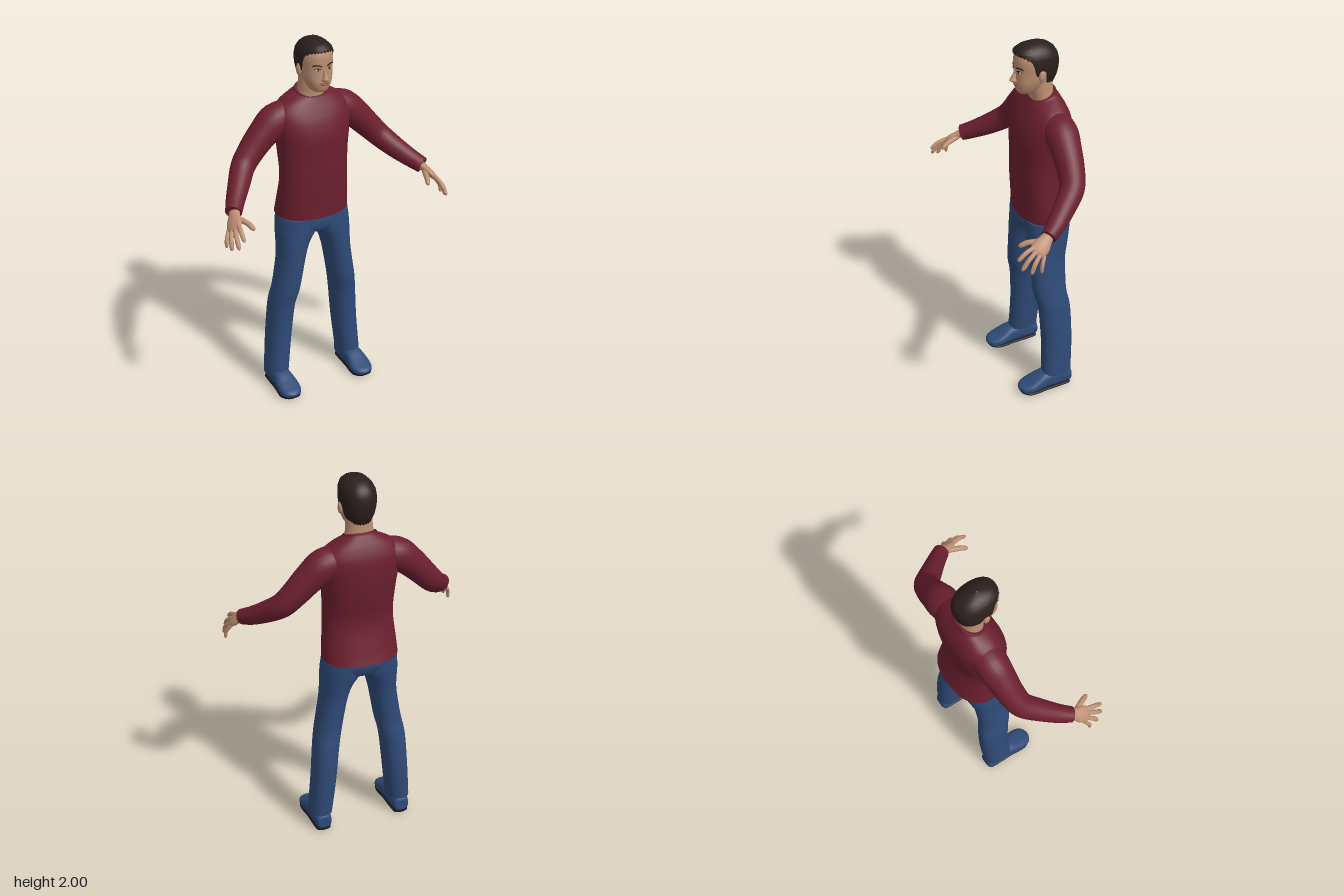
import * as THREE from 'three';

const mat = (name, color) => {
  const m = new THREE.MeshStandardMaterial({ color });
  m.name = name;
  return m;
};
const V = (x, y, z) => new THREE.Vector3(x, y, z);

// Catmull-Rom resampling of a table of rows, column by column
function smooth(rows, steps = 5) {
  const out = [], last = rows.length - 1;
  for (let i = 0; i < last; i++) {
    const [a, b, c, d] = [rows[Math.max(i - 1, 0)], rows[i], rows[i + 1], rows[Math.min(i + 2, last)]];
    for (let k = 0; k < steps; k++) {
      const t = k / steps;
      out.push(b.map((p, j) => {
        const quad = 2 * a[j] - 5 * p + 4 * c[j] - d[j];
        const cubic = 3 * (p - c[j]) + d[j] - a[j];
        return p + 0.5 * t * (c[j] - a[j] + t * (quad + t * cubic));
      }));
    }
  }
  out.push(rows[last]);
  return out;
}

// Linear lookup in a table whose first column rises
function lookup(rows, key) {
  let i = 0;
  while (i < rows.length - 2 && key > rows[i + 1][0]) i++;
  const t = THREE.MathUtils.clamp((key - rows[i][0]) / (rows[i + 1][0] - rows[i][0]), 0, 1);
  return rows[i].map((p, j) => p + (rows[i + 1][j] - p) * t);
}

// Surface through rings of points, optionally capped at both ends
function skinRings(rings, caps = true) {
  const n = rings[0].length, pts = rings.flat(), index = [];
  for (let i = 0; i < rings.length - 1; i++) for (let j = 0; j < n; j++) {
    const a = i * n + j, b = i * n + (j + 1) % n;
    index.push(a, b, b + n, a, b + n, a + n);
  }
  if (caps) [rings[0], rings[rings.length - 1]].forEach((ring, end) => {
    const base = pts.length;
    const mid = ring.reduce((s, p) => s.add(p), V(0, 0, 0)).divideScalar(n);
    pts.push(...ring, mid);
    for (let j = 0; j < n; j++) {
      const a = base + j, b = base + (j + 1) % n;
      index.push(base + n, ...(end ? [a, b] : [b, a]));
    }
  });
  const g = new THREE.BufferGeometry().setFromPoints(pts);
  g.setIndex(index);
  g.computeVertexNormals();
  return g;
}

const power = (v, n) => Math.sign(v) * Math.abs(v) ** (2 / n);

// Upright form; rows: [y, xMin, xMax, zFront, zBack, forward tilt]
function upright(rows, n = 2.3, sides = 40) {
  return skinRings(smooth(rows).map(([y, x0, x1, zf, zb, tilt = 0]) =>
    Array.from({ length: sides }, (_, j) => {
      const a = j / sides * Math.PI * 2, s = power(Math.sin(a), n), c = power(Math.cos(a), n);
      return V((x0 + x1) / 2 + s * (x1 - x0) / 2, y - tilt * c, (zf + zb) / 2 + c * (zf - zb) / 2);
    })));
}
const centred = (rows) => rows.map(([y, w, ...rest]) => [y, -w, w, ...rest]);

// Limb along a path; rows: [x, y, z, wide radius, thin radius]
function limb(rows, wide, sides = 24, steps = 5) {
  const r = smooth(rows, steps), p = r.map((q) => V(q[0], q[1], q[2]));
  return skinRings(r.map((q, i) => {
    const d = p[Math.min(i + 1, p.length - 1)].clone().sub(p[Math.max(i - 1, 0)]).normalize();
    const u = wide.clone().addScaledVector(d, -wide.dot(d)).normalize();
    const v = d.clone().cross(u);
    return Array.from({ length: sides }, (_, j) => {
      const a = j / sides * Math.PI * 2;
      return p[i].clone().addScaledVector(u, Math.cos(a) * q[3]).addScaledVector(v, Math.sin(a) * q[4]);
    });
  }));
}

// Form along z; rows: [z, half width, top, bottom]
const lengthwise = (rows, cx) => skinRings(smooth(rows).map(([z, w, top, bot]) =>
  Array.from({ length: 28 }, (_, j) => {
    const a = j / 28 * Math.PI * 2;
    return V(cx + w * power(Math.cos(a), 2.6), (top + bot) / 2 + power(Math.sin(a), 2.6) * (top - bot) / 2, z);
  })));

function mirrored(g) {
  const m = g.clone().scale(-1, 1, 1), ix = m.index.array;
  for (let i = 0; i < ix.length; i += 3) [ix[i], ix[i + 1]] = [ix[i + 1], ix[i]];
  m.computeVertexNormals();
  return m;
}

// [y, half width, front, back] of the head
const HEAD = [[1.728, .02, -.015, -.06], [1.738, .04, .01, -.085], [1.76, .056, .021, -.105], [1.79, .069, .027, -.135],
  [1.82, .077, .026, -.16], [1.86, .081, .025, -.178], [1.9, .083, .027, -.182], [1.93, .079, .024, -.178],
  [1.955, .066, .012, -.165], [1.975, .044, -.015, -.14], [1.985, .012, -.06, -.09]];
function faceZ(x, y) {
  const [, w, f, b] = lookup(HEAD, y);
  const side = Math.min(Math.abs(x) / w, 1);
  return (f + b) / 2 + (f - b) / 2 * (1 - side ** 2.3) ** (1 / 2.3);
}

// Hair shell whose lower edge follows fringe, sideburns, ears and nape
function hairShell() {
  const size = [[1.77, .062, .03, -.172], [1.82, .08, .03, -.192], [1.86, .088, .031, -.2], [1.9, .09, .033, -.201],
    [1.935, .086, .034, -.193], [1.96, .074, .03, -.177], [1.98, .054, .006, -.152], [1.993, .031, -.03, -.12], [2, .002, -.073, -.077]];
  const edge = [[-1, 1.778], [-.55, 1.785], [-.3, 1.8], [-.15, 1.87], [.05, 1.87], [.15, 1.843], [.3, 1.855], [.42, 1.925], [.7, 1.945], [1, 1.952]];
  const rings = [];
  for (let i = 0; i <= 18; i++) rings.push(Array.from({ length: 96 }, (_, j) => {
    const a = j / 96 * Math.PI * 2, c = power(Math.cos(a), 2.3), s = power(Math.sin(a), 2.3);
    const low = lookup(edge, c)[1] + (j % 3 ? 0 : -.006);
    const y = low + (2 - low) * Math.sin(i / 18 * Math.PI / 2);
    const [, w, f, b] = lookup(size, y);
    return V(s * w, y, (f + b) / 2 + c * (f - b) / 2);
  }));
  return skinRings(rings, false);
}

export function createModel() {
  const model = new THREE.Group();
  const shirt = mat('dark red knit', 0x6c1f2f), denim = mat('blue denim', 0x2f4b78), skin = mat('skin', 0xbd8f72);
  const hair = mat('dark brown hair', 0x2b1f1d), sole = mat('black sole', 0x17171a);
  const white = mat('eye white', 0xcfc4ba), lip = mat('lips', 0x96614f);
  hair.side = THREE.DoubleSide;
  const add = (name, g, m) => {
    const mesh = new THREE.Mesh(g, m);
    mesh.name = name;
    model.add(mesh);
  };
  const pair = (name, g, m) => {
    add(name + 'Left', g, m);
    add(name + 'Right', mirrored(g), m);
  };
  const ball = (x, y, z, a, b, c) => new THREE.SphereGeometry(1, 18, 12).scale(a, b, c).translate(x, y, z);
  const strip = (points, r) => {
    const path = new THREE.CatmullRomCurve3(points.map(([x, y]) => V(x, y, faceZ(x, y))));
    return new THREE.TubeGeometry(path, 14, r, 6);
  };

  // Sweater body and sleeves
  add('sweaterBody', upright(centred([[1.035, .2, .02, -.268, 0], [1.1, .196, .022, -.248, 0], [1.25, .185, .03, -.215, 0],
    [1.38, .189, .03, -.232, 0], [1.48, .2, .03, -.245, 0], [1.56, .212, .012, -.247, 0], [1.615, .21, -.012, -.24, 0],
    [1.66, .172, -.034, -.222, .004], [1.69, .122, -.046, -.202, .012], [1.706, .089, -.05, -.188, .02],
    [1.715, .084, -.053, -.184, .022], [1.712, .07, -.06, -.172, .022]])), shirt);
  pair('sleeve', limb([[.08, 1.61, -.135, .06, .07], [.19, 1.575, -.135, .085, .085], [.27, 1.512, -.13, .077, .077],
    [.34, 1.44, -.122, .069, .069], [.4, 1.375, -.1, .063, .063], [.46, 1.315, -.03, .056, .056],
    [.515, 1.268, .04, .048, .048], [.553, 1.24, .097, .043, .04]], V(.6, .7, -.4)), shirt);

  // Trousers
  add('trouserSeat', upright(centred([[.925, .05, -.05, -.165], [.945, .13, -.01, -.21], [.98, .198, .004, -.232],
    [1.02, .199, .006, -.243], [1.06, .185, .003, -.235]])), denim);
  pair('trouserLeg', upright([[.1, .163, .287, -.035, -.2], [.3, .141, .272, -.04, -.21], [.5, .12, .257, -.03, -.205],
    [.6, .1, .24, -.01, -.19], [.7, .083, .222, -.003, -.19], [.8, .064, .208, 0, -.195], [.88, .038, .206, .002, -.21],
    [.95, -.005, .206, .004, -.225], [1.03, 0, .196, .003, -.235]], 2.2), denim);

  // Shoes
  pair('shoe', lengthwise([[-.2, .026, .08, .03], [-.188, .042, .1, .014], [-.12, .048, .115, .01], [-.04, .053, .11, .01],
    [.02, .061, .082, .01], [.06, .058, .064, .012], [.09, .042, .052, .016], [.105, .012, .04, .028]], .226), denim);
  pair('shoeSole', lengthwise([[-.192, .024, .02, .002], [-.18, .04, .02, 0], [-.12, .046, .02, 0], [-.04, .05, .02, 0],
    [.02, .059, .022, 0], [.06, .056, .024, .002], [.09, .038, .028, .008], [.1, .014, .03, .016]], .226), sole);

  // Hands
  const across = V(.05, -.045, -.055);
  pair('palm', limb([[.54, 1.25, .078, .028, .024], [.557, 1.23, .112, .033, .021], [.573, 1.209, .143, .044, .019],
    [.585, 1.192, .168, .041, .014], [.59, 1.184, .179, .028, .007]], across), skin);
  const finger = (name, a, b, c, r) => {
    const nearTip = b.map((v, i) => v + (c[i] - v) * .75);
    const rows = [[...a, r, r], [...b, r, r], [...nearTip, r * .9, r * .85], [...c, r * .35, r * .35]];
    pair(name, limb(rows, across, 12, 4), skin);
  };
  finger('thumb', [.55, 1.222, .12], [.522, 1.214, .188], [.505, 1.193, .232], .014);
  finger('indexFinger', [.565, 1.214, .17], [.576, 1.196, .225], [.58, 1.163, .27], .0115);
  finger('middleFinger', [.579, 1.2, .165], [.598, 1.167, .219], [.604, 1.12, .258], .012);
  finger('ringFinger', [.593, 1.184, .155], [.616, 1.147, .195], [.624, 1.1, .217], .0115);
  finger('littleFinger', [.604, 1.174, .14], [.624, 1.138, .16], [.629, 1.096, .166], .01);

  // Head and neck
  add('neck', upright(centred([[1.65, .08, -.055, -.18], [1.7, .074, -.058, -.176], [1.75, .069, -.05, -.171],
    [1.82, .066, -.045, -.168]]), 2.1), skin);
  add('head', upright(centred(HEAD)), skin);
  add('nose', upright(centred([[1.796, .009, .03, 0], [1.802, .016, .046, 0], [1.811, .017, .055, 0], [1.822, .012, .05, 0],
    [1.845, .008, .037, 0], [1.87, .007, .027, 0]]), 2, 20), skin);
  pair('ear', ball(.087, 1.843, -.082, .012, .031, .018), skin);
  add('hair', hairShell(), hair);

  // Facial details
  pair('eye', ball(.034, 1.86, faceZ(.034, 1.86) - .004, .014, .006, .006), white);
  pair('iris', ball(.033, 1.86, faceZ(.033, 1.86) + .0005, .005, .005, .003), hair);
  pair('upperLid', strip([[.019, 1.862], [.034, 1.868], [.05, 1.862]], .0022), hair);
  pair('eyebrow', strip([[.014, 1.876], [.034, 1.885], [.056, 1.88]], .0038), hair);
  add('upperLip', strip([[-.024, 1.784], [-.008, 1.789], [0, 1.787], [.008, 1.789], [.024, 1.784]], .004), lip);
  add('lowerLip', strip([[-.02, 1.781], [0, 1.778], [.02, 1.781]], .0045), lip);
  return model;
}
